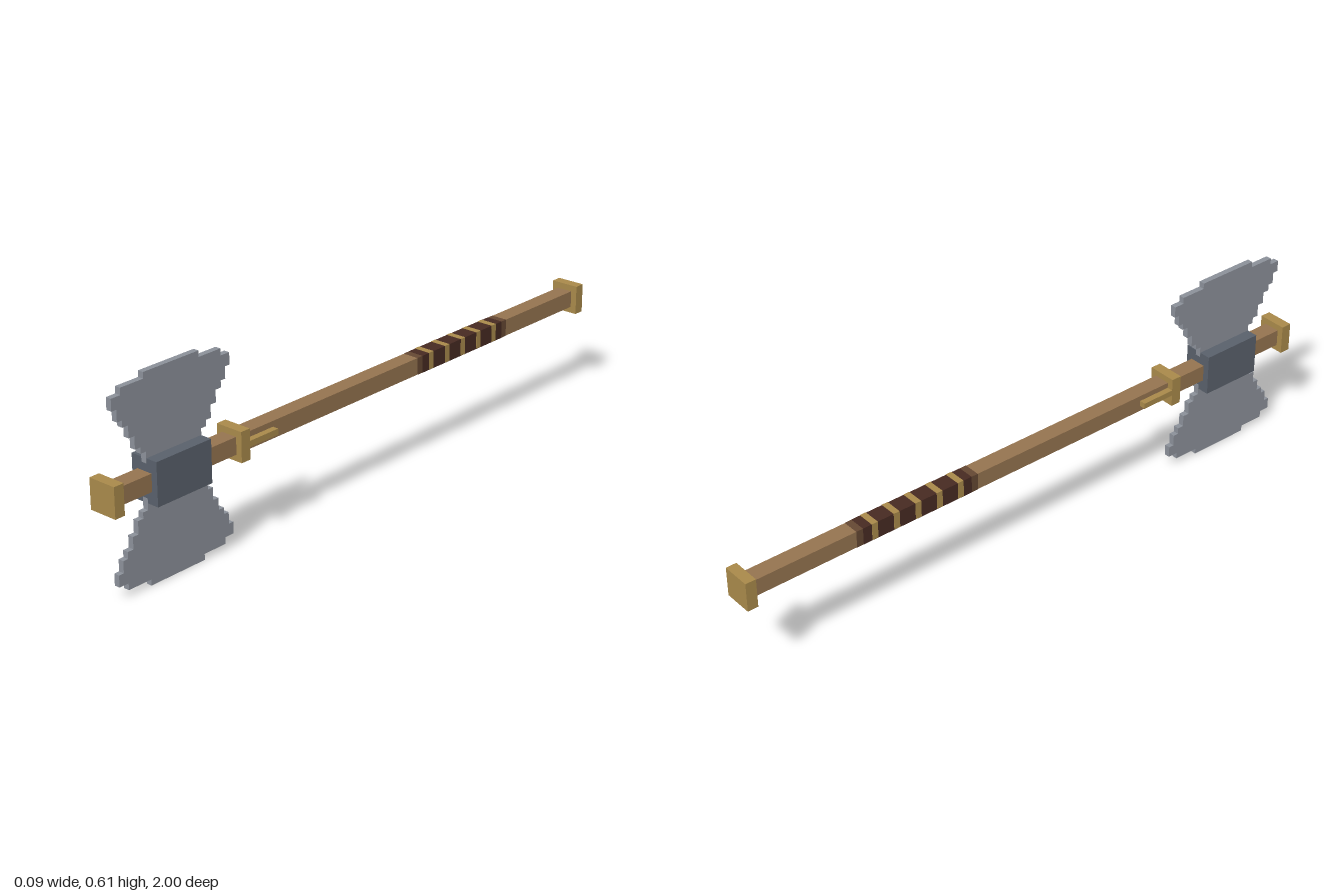
import * as THREE from 'three';

const mat = (name, color) => {
  const m = new THREE.MeshStandardMaterial({ color });
  m.name = name;
  return m;
};

export function createModel() {
  const group = new THREE.Group();
  const gold = mat('gold', 0xa8894a);
  const wood = mat('wood', 0x94734f);
  const steel = mat('steel', 0x8b9099);
  const iron = mat('dark iron', 0x59606b);
  const leather = mat('leather', 0x472a22);
  const wornLeather = mat('worn leather', 0x654833);
  const midY = 0.303;

  // Box spanning z0..z1, centred on the shaft axis unless moved
  const bar = (name, material, w, h, z0, z1, x = 0, y = midY) => {
    const mesh = new THREE.Mesh(new THREE.BoxGeometry(w, h, z1 - z0), material);
    mesh.position.set(x, y, (z0 + z1) / 2);
    mesh.name = name;
    group.add(mesh);
  };

  // Shaft, end caps and collar
  bar('shaft', wood, 0.052, 0.052, -0.98, 0.98);
  bar('frontCap', gold, 0.091, 0.091, 0.967, 1);
  bar('pommel', gold, 0.091, 0.091, -1, -0.967);
  bar('collar', gold, 0.091, 0.091, 0.508, 0.541);
  for (const s of [-1, 1]) bar('collarProng', gold, 0.02, 0.018, 0.398, 0.508, s * 0.0355);

  // Leather grip with gold bands
  bar('gripEnd', wornLeather, 0.053, 0.053, -0.236, -0.214);
  bar('grip', leather, 0.0535, 0.0535, -0.61, -0.236);
  bar('gripEnd', wornLeather, 0.053, 0.053, -0.632, -0.61);
  for (let i = 0; i < 5; i++) {
    const z = -0.275 - i * 0.074;
    bar('gripBand', gold, 0.055, 0.053, z - 0.01, z + 0.01, 0, midY + 0.001);
  }

  // Head block
  bar('headBlock', iron, 0.092, 0.128, 0.654, 0.852);

  // Stepped double blade: [height above axis, half width] from the block outwards
  const steps = [
    [0.083, 0.1], [0.101, 0.118], [0.139, 0.137], [0.175, 0.157], [0.195, 0.177],
    [0.23, 0.194], [0.265, 0.211], [0.285, 0.179], [0.303, 0.099],
  ];
  const side = [];
  let low = 0.05;
  for (const [top, half] of steps) {
    side.push([half, low], [half, top]);
    low = top;
  }
  const outline = [...side, ...side.map(([x, y]) => [-x, y]).reverse()];
  const bladeGeo = new THREE.ExtrudeGeometry(
    new THREE.Shape(outline.map(([x, y]) => new THREE.Vector2(x, y))),
    { depth: 0.018, bevelEnabled: false });
  bladeGeo.translate(0, 0, -0.009).rotateY(Math.PI / 2);
  for (const [name, turn] of [['upperBlade', 0], ['lowerBlade', Math.PI]]) {
    const blade = new THREE.Mesh(bladeGeo, steel);
    blade.name = name;
    blade.position.set(0, midY, 0.753);
    blade.rotation.x = turn;
    group.add(blade);
  }
  return group;
}
